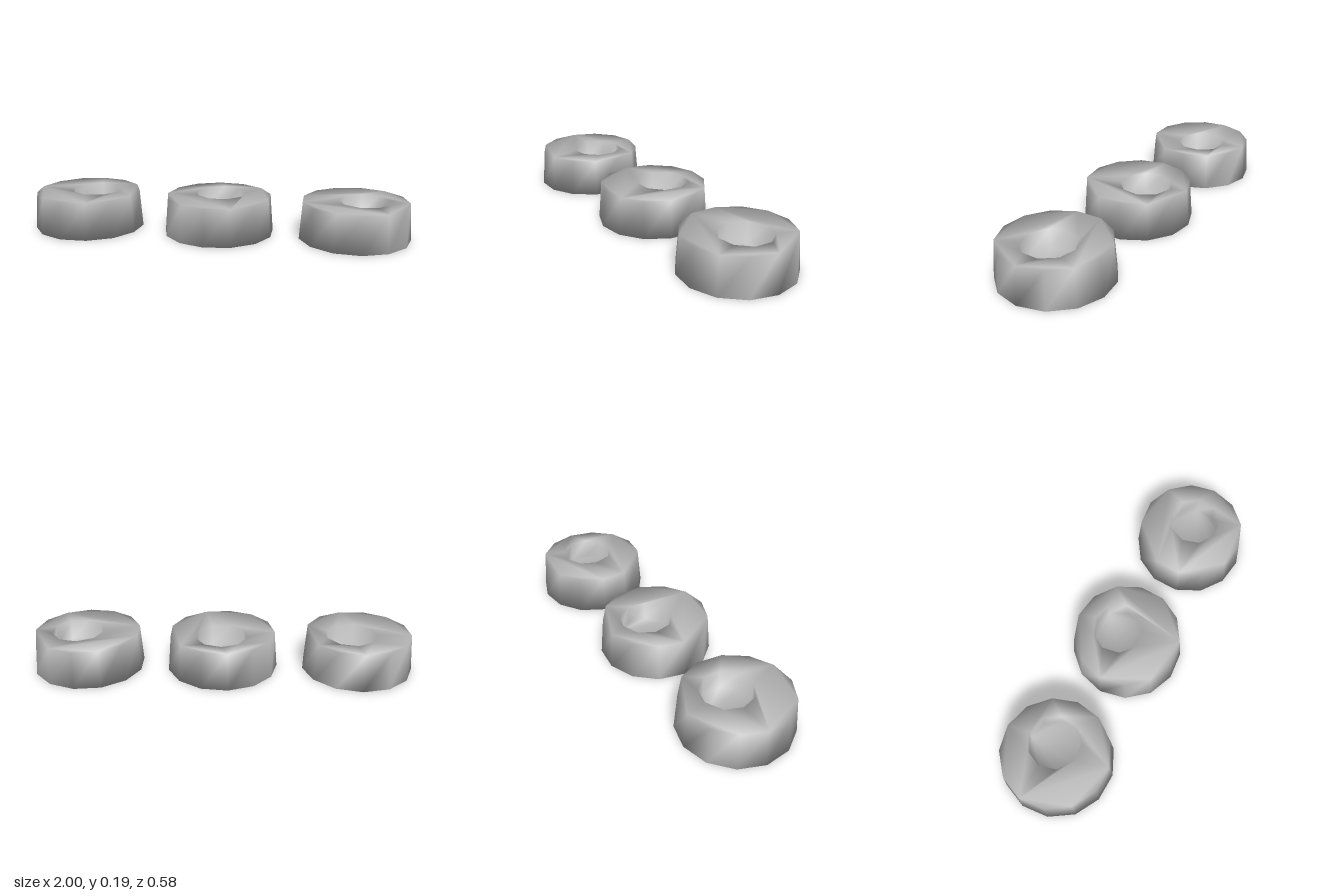
import * as THREE from 'three';

const SIDES = 13, HOLE_SIDES = 9;
const HEIGHT = 0.195, FLOOR = 0.09;

// Regular ring of points, counter-clockwise seen from above
function ring(n, radius, phase, cx = 0, cz = 0) {
  return Array.from({ length: n }, (_, i) => {
    const a = phase + (i / n) * Math.PI * 2;
    return new THREE.Vector2(cx + Math.cos(a) * radius, -cz + Math.sin(a) * radius);
  });
}

// Tapered disc with an off-centre well; shared corners give soft shading all over
function discGeometry(phase, holePhase, hx, hz) {
  const base = ring(SIDES, 0.29, phase);
  const rim = ring(SIDES, 0.275, phase);
  const lip = ring(HOLE_SIDES, 0.135, holePhase, hx, hz);
  const positions = [], index = [];
  const add = (points, y) => {
    const start = positions.length / 3;
    points.forEach((p) => positions.push(p.x, y, -p.y));
    return start;
  };
  const b = add(base, 0), t = add(rim, HEIGHT);
  const l = add(lip, HEIGHT), f = add(lip, FLOOR);
  const quad = (p, q, r, s) => index.push(p, q, r, p, r, s);

  // Outer wall
  for (let i = 0; i < SIDES; i++) {
    const j = (i + 1) % SIDES;
    quad(b + i, b + j, t + j, t + i);
  }
  // Well wall
  for (let i = 0; i < HOLE_SIDES; i++) {
    const j = (i + 1) % HOLE_SIDES;
    quad(f + j, f + i, l + i, l + j);
  }
  // Top face around the well
  THREE.ShapeUtils.triangulateShape(rim, [lip]).forEach((tri) => index.push(...tri.map((k) => t + k)));
  // Underside and well floor
  for (let i = 1; i < SIDES - 1; i++) index.push(b, b + i + 1, b + i);
  for (let i = 1; i < HOLE_SIDES - 1; i++) index.push(f, f + i, f + i + 1);

  const geometry = new THREE.BufferGeometry();
  geometry.setAttribute('position', new THREE.Float32BufferAttribute(positions, 3));
  geometry.setIndex(index);
  geometry.computeVertexNormals();
  return geometry;
}

export function createModel() {
  const model = new THREE.Group();
  model.name = 'discSet';
  const grey = new THREE.MeshStandardMaterial({ color: 0xb4b4b4 });
  grey.name = 'grey';

  const discs = [
    { name: 'rightDisc', x: -0.713, phase: Math.PI / 2, holePhase: 1.7, hole: [0.04, -0.03] },
    { name: 'middleDisc', x: 0, phase: Math.PI, holePhase: 0.9, hole: [0.005, -0.055] },
    { name: 'leftDisc', x: 0.71, phase: 0, holePhase: 0.3, hole: [0.05, -0.005] },
  ];
  for (const d of discs) {
    const disc = new THREE.Mesh(discGeometry(d.phase, d.holePhase, ...d.hole), grey);
    disc.name = d.name;
    disc.position.x = d.x;
    model.add(disc);
  }
  return model;
}
